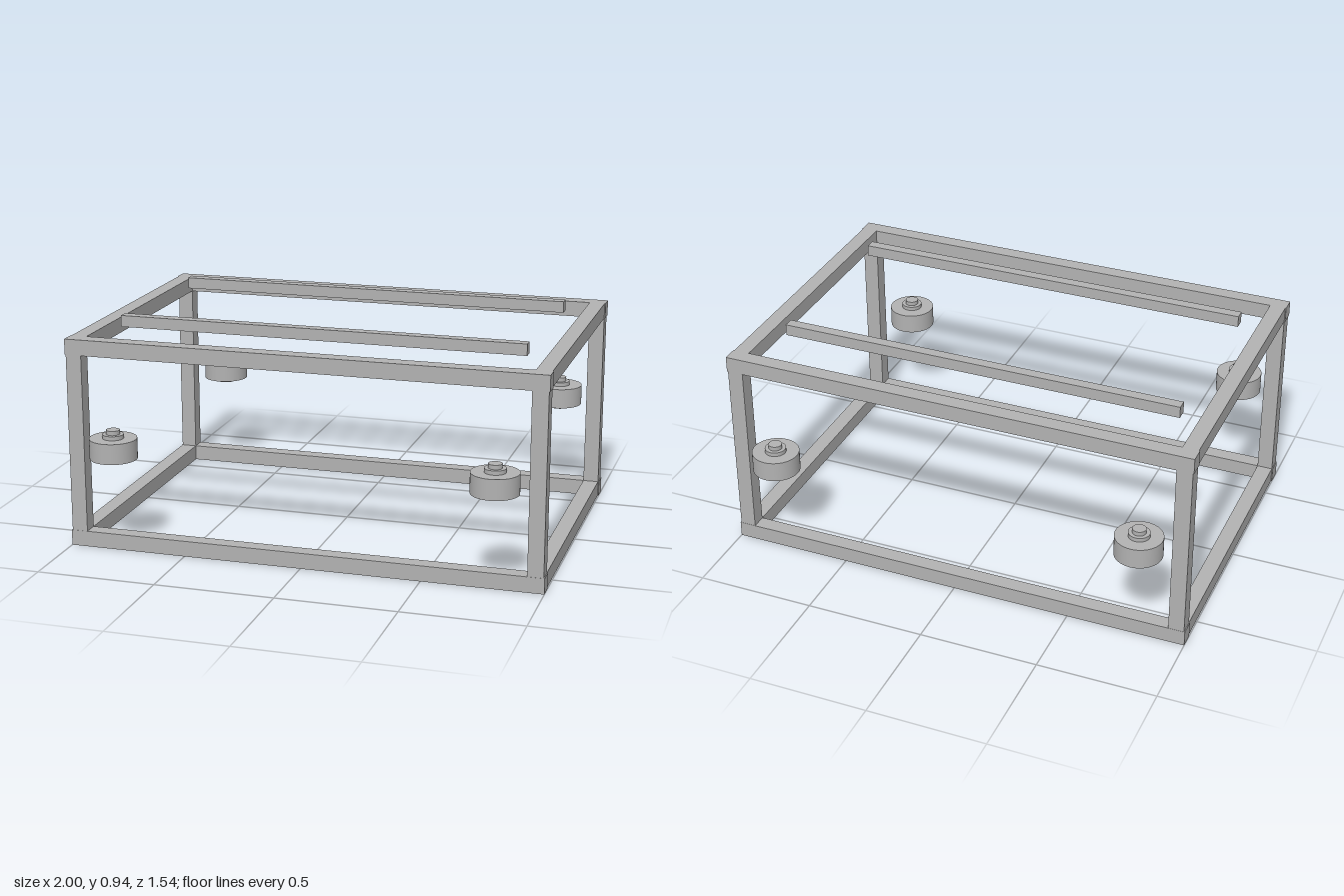
import * as THREE from 'three';

export function createModel() {
  const model = new THREE.Group();
  model.name = 'frame';
  const grey = new THREE.MeshStandardMaterial({ color: 0xb2b2b2 });
  grey.name = 'grey metal';

  // Box given by its extents on each axis
  function bar(name, [x0, x1], [y0, y1], [z0, z1], parent = model) {
    const mesh = new THREE.Mesh(new THREE.BoxGeometry(x1 - x0, y1 - y0, z1 - z0), grey);
    mesh.position.set((x0 + x1) / 2, (y0 + y1) / 2, (z0 + z1) / 2);
    mesh.name = name;
    parent.add(mesh);
  }
  const mirrored = (side, a, b) => (side > 0 ? [a, b] : [-b, -a]);

  const bottom = [0, 0.066], top = [0.819, 0.885];

  // Long rails and roof slats, front and back
  for (const s of [1, -1]) {
    const z = mirrored(s, 0.6, 0.665);
    bar('lowerLongRail', [-1, 1], bottom, z);
    bar('upperLongRail', [-1, 1], top, z);
    bar('roofSlat', [-0.857, 0.857], [0.887, 0.935], mirrored(s, 0.365, 0.41));
  }

  // Cross rails and posts, left and right
  for (const s of [1, -1]) {
    const x = mirrored(s, 0.93, 0.996);
    bar('lowerCrossRail', x, bottom, [-0.6, 0.6]);
    bar('upperCrossRail', x, top, [-0.6, 0.6]);
    for (const t of [1, -1]) bar('cornerPost', x, [0.066, 0.819], mirrored(t, 0.6, 0.664));
  }

  // Horizontal rollers with stepped hubs, one near each post
  const tiers = [
    ['rollerBottomHub', 0.044, 0.383, 0.4],
    ['rollerDrum', 0.098, 0.4, 0.486],
    ['rollerCollar', 0.044, 0.486, 0.503],
    ['rollerCap', 0.028, 0.503, 0.521],
  ];
  for (const x of [0.796, -0.796]) {
    for (const z of [0.672, -0.672]) {
      const roller = new THREE.Group();
      roller.name = 'roller';
      roller.position.set(x, 0, z);
      for (const [name, r, y0, y1] of tiers) {
        const tier = new THREE.Mesh(new THREE.CylinderGeometry(r, r, y1 - y0, 48), grey);
        tier.position.y = (y0 + y1) / 2;
        tier.name = name;
        roller.add(tier);
      }
      model.add(roller);
    }
  }
  return model;
}
